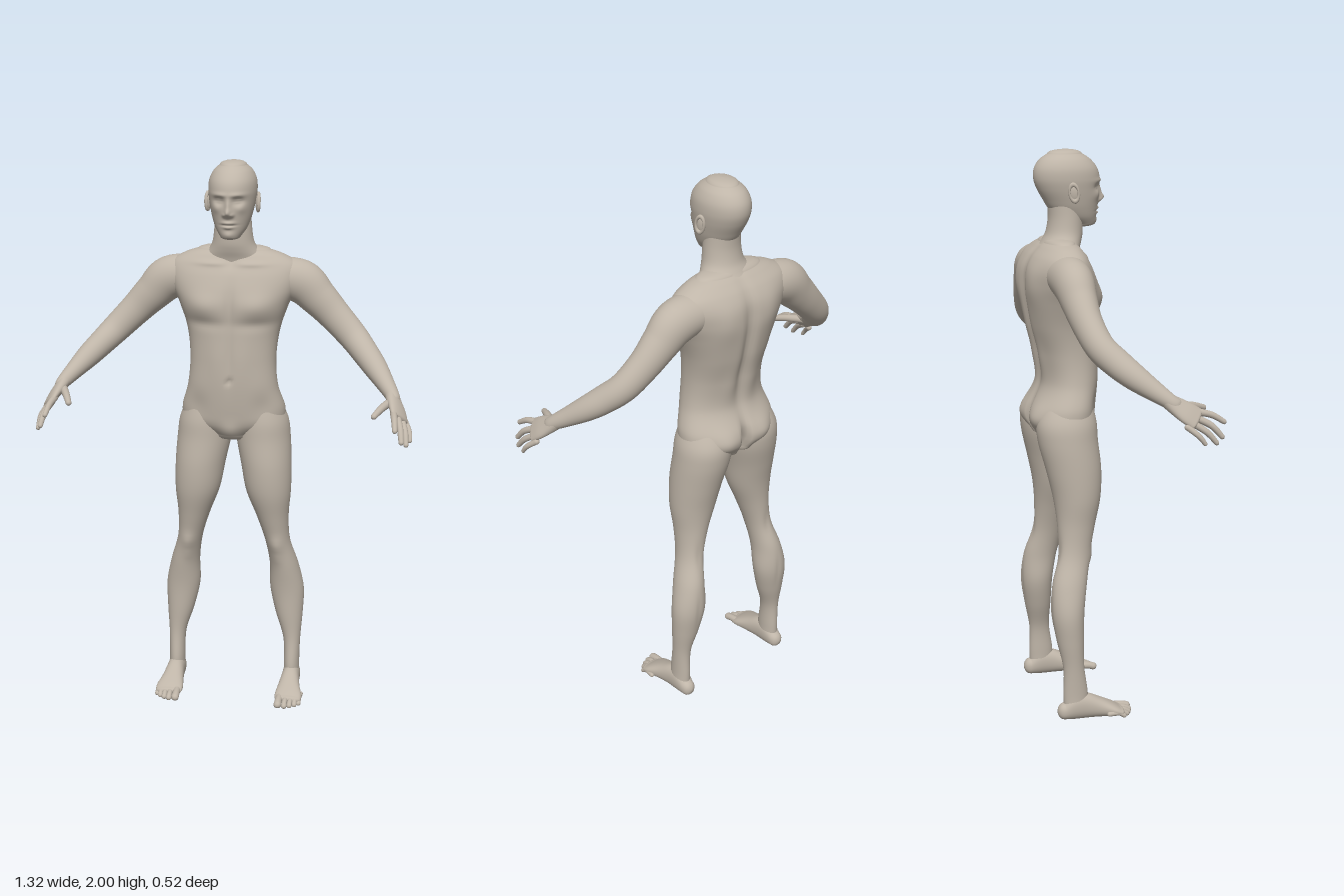
import * as THREE from 'three';

const skin = new THREE.MeshStandardMaterial({ color: 0xbfb5a8 });
skin.name = 'skin';

const V = (x, y, z) => new THREE.Vector3(x, y, z);
const X = V(1, 0, 0), Y = V(0, 1, 0), Z = V(0, 0, 1);

// Smooth interpolation through rows of numbers
function sampleRows(rows, steps) {
  const out = [], last = rows.length - 1;
  for (let i = 0; i < last; i++) {
    const p0 = rows[Math.max(i - 1, 0)], p1 = rows[i], p2 = rows[i + 1], p3 = rows[Math.min(i + 2, last)];
    for (let s = 0; s < steps; s++) {
      const t = s / steps;
      out.push(p1.map((b, k) => {
        const c1 = p2[k] - p0[k];
        const c2 = 2 * p0[k] - 5 * b + 4 * p2[k] - p3[k];
        const c3 = 3 * (b - p2[k]) + p3[k] - p0[k];
        return b + 0.5 * t * (c1 + t * (c2 + t * c3));
      }));
    }
  }
  out.push(rows[last]);
  return out;
}

// Skin over oval sections [x, y, z, radius along ref, radius across], with rounded ends
function loft(rows, { ref = Z, axis = null, sides = 32, steps = 6, cap = 1, square = 1 } = {}) {
  const s = sampleRows(rows, steps), rings = [];
  const centre = (r) => V(r[0], r[1], r[2]);
  s.forEach((r, i) => {
    const T = axis ? axis.clone()
      : centre(s[Math.min(i + 1, s.length - 1)]).sub(centre(s[Math.max(i - 1, 0)])).normalize();
    rings.push({ c: centre(r), T, a: r[3], b: r[4] });
  });
  const capRings = (end, sign) => [1, 2, 3, 4, 5].map((k) => {
    const t = k * Math.PI / 10, h = Math.min(end.a, end.b) * cap * sign, f = Math.max(Math.cos(t), 0.001);
    return { c: end.c.clone().addScaledVector(end.T, h * Math.sin(t)), T: end.T, a: end.a * f, b: end.b * f };
  });
  const all = [...capRings(rings[0], -1).reverse(), ...rings, ...capRings(rings[rings.length - 1], 1)];
  const pos = [], index = [];
  const pw = (v) => Math.sign(v) * Math.pow(Math.abs(v), square);
  all.forEach(({ c, T, a, b }, i) => {
    const B = ref.clone().addScaledVector(T, -ref.dot(T)).normalize();
    const N = T.clone().cross(B);
    for (let j = 0; j < sides; j++) {
      const t = j / sides * Math.PI * 2;
      const p = c.clone().addScaledVector(B, a * pw(Math.cos(t))).addScaledVector(N, b * pw(Math.sin(t)));
      pos.push(p.x, p.y, p.z);
      if (i < all.length - 1) {
        const q = i * sides + j, r = i * sides + (j + 1) % sides;
        index.push(q, r, r + sides, q, r + sides, q + sides);
      }
    }
  });
  const g = new THREE.BufferGeometry();
  g.setAttribute('position', new THREE.Float32BufferAttribute(pos, 3));
  g.setIndex(index);
  g.computeVertexNormals();
  return g;
}

// Upright loft from rows [y, centre x, half width, front z, back z]
const upright = (rows, opts) => loft(
  rows.map(([y, x, w, f, b]) => [x, y, (f + b) / 2, w, (f - b) / 2]), { ref: X, axis: Y, ...opts });

// Soft mirrored bumps [x, y, spread x, spread y, height, side], side 1 = front, -1 = back
function sculpt(g, zMid, bumps) {
  const p = g.attributes.position;
  for (let i = 0; i < p.count; i++) {
    const x = Math.abs(p.getX(i)), y = p.getY(i), z = p.getZ(i);
    let dz = 0;
    for (const [bx, by, sx, sy, h, side] of bumps) {
      const w = THREE.MathUtils.smoothstep((z - zMid) * side, 0, 0.06);
      const u = (x - bx) / sx, v = (y - by) / sy;
      dz += side * w * h * Math.exp(-u * u - v * v);
    }
    p.setZ(i, z + dz);
  }
  g.computeVertexNormals();
  return g;
}

// Mirror image across x with corner order restored
function mirrored(src) {
  const g = src.clone().scale(-1, 1, 1), ix = g.index.array;
  for (let i = 0; i < ix.length; i += 3) [ix[i + 1], ix[i + 2]] = [ix[i + 2], ix[i + 1]];
  g.computeVertexNormals();
  return g;
}

export function createModel() {
  const model = new THREE.Group();
  model.name = 'figure';
  const add = (name, g) => {
    const m = new THREE.Mesh(g, skin);
    m.name = name;
    model.add(m);
  };
  const pair = (name, g) => {
    add('left' + name, g);
    add('right' + name, mirrored(g));
  };

  // Torso with chest, belly, spine and buttocks
  add('torso', sculpt(upright([
    [1.02, 0, 0.10, -0.045, -0.225], [1.06, 0, 0.175, -0.022, -0.243], [1.11, 0, 0.188, -0.012, -0.24],
    [1.2, 0, 0.163, -0.004, -0.205], [1.3, 0, 0.155, -0.004, -0.215], [1.4, 0, 0.166, -0.006, -0.243],
    [1.49, 0, 0.195, -0.004, -0.258], [1.55, 0, 0.222, -0.012, -0.26], [1.6, 0, 0.235, -0.03, -0.254],
    [1.64, 0, 0.225, -0.052, -0.235], [1.67, 0, 0.175, -0.07, -0.208], [1.685, 0, 0.13, -0.085, -0.19],
  ], { sides: 112, steps: 10, cap: 0.35, square: 0.92 }), -0.13, [
    [0.1, 1.5, 0.07, 0.045, 0.016, 1], [0, 1.5, 0.016, 0.09, -0.008, 1], [0.09, 1.435, 0.08, 0.02, -0.006, 1],
    [0.045, 1.3, 0.035, 0.1, 0.004, 1], [0, 1.33, 0.012, 0.1, -0.004, 1], [0, 1.23, 0.009, 0.01, -0.01, 1],
    [0, 1.03, 0.035, 0.035, 0.012, 1], [0.12, 1.13, 0.04, 0.05, -0.008, 1],
    [0.07, 1.645, 0.06, 0.01, 0.006, 1], [0, 1.65, 0.02, 0.02, -0.008, 1],
    [0, 1.42, 0.022, 0.2, -0.018, -1], [0.09, 1.55, 0.05, 0.07, 0.008, -1], [0.05, 1.28, 0.03, 0.08, 0.006, -1],
    [0.085, 1.075, 0.055, 0.055, 0.018, -1], [0, 1.05, 0.014, 0.065, -0.045, -1],
  ]));

  // Neck
  add('neck', upright([
    [1.62, 0, 0.13, -0.07, -0.225], [1.66, 0, 0.112, -0.062, -0.208], [1.69, 0, 0.088, -0.052, -0.188],
    [1.72, 0, 0.073, -0.046, -0.173], [1.77, 0, 0.066, -0.046, -0.165], [1.83, 0, 0.062, -0.05, -0.168],
  ], { sides: 48, cap: 0.3 }));

  // Head with sculpted face
  add('head', sculpt(upright([
    [1.745, 0, 0.036, -0.001, -0.09], [1.77, 0, 0.054, 0.004, -0.135], [1.8, 0, 0.066, 0.008, -0.165],
    [1.83, 0, 0.074, 0.012, -0.184], [1.865, 0, 0.081, 0.015, -0.204], [1.9, 0, 0.085, 0.017, -0.216],
    [1.935, 0, 0.082, 0.008, -0.214], [1.965, 0, 0.068, -0.016, -0.196], [1.985, 0, 0.047, -0.046, -0.167],
  ], { sides: 128, steps: 10, cap: 0.32 }), -0.08, [
    [0, 1.832, 0.013, 0.015, 0.02, 1], [0, 1.856, 0.01, 0.022, 0.01, 1], [0.014, 1.825, 0.007, 0.007, 0.007, 1],
    [0.034, 1.872, 0.018, 0.013, -0.015, 1], [0.034, 1.872, 0.012, 0.007, 0.008, 1],
    [0.034, 1.872, 0.014, 0.002, -0.003, 1], [0.03, 1.893, 0.028, 0.008, 0.005, 1],
    [0.045, 1.845, 0.016, 0.016, 0.005, 1], [0, 1.797, 0.02, 0.006, 0.008, 1], [0, 1.782, 0.017, 0.006, 0.008, 1],
    [0, 1.789, 0.024, 0.003, -0.006, 1], [0, 1.754, 0.022, 0.013, 0.007, 1],
  ]));

  // Ears: a rim around a shallow bowl
  const rim = new THREE.TorusGeometry(0.022, 0.006, 10, 28).scale(0.72, 1.3, 1)
    .rotateY(Math.PI / 2 + 0.3).rotateX(-0.15).translate(0.089, 1.857, -0.1);
  const bowl = new THREE.SphereGeometry(1, 20, 14).scale(0.006, 0.026, 0.015)
    .rotateY(0.3).rotateX(-0.15).translate(0.085, 1.855, -0.1);
  pair('EarRim', rim);
  pair('EarBowl', bowl);

  // Legs
  pair('Leg', sculpt(upright([
    [0.05, 0.222, 0.03, -0.1, -0.185], [0.1, 0.221, 0.029, -0.097, -0.186], [0.2, 0.22, 0.032, -0.11, -0.186],
    [0.3, 0.208, 0.051, -0.108, -0.206], [0.4, 0.198, 0.063, -0.104, -0.221], [0.5, 0.187, 0.053, -0.09, -0.213],
    [0.6, 0.165, 0.046, -0.072, -0.186], [0.7, 0.147, 0.059, -0.048, -0.182], [0.8, 0.132, 0.082, -0.024, -0.192],
    [0.9, 0.122, 0.092, -0.018, -0.214], [1.0, 0.109, 0.099, -0.026, -0.238], [1.07, 0.104, 0.094, -0.03, -0.24],
    [1.14, 0.096, 0.07, -0.045, -0.21],
  ], { sides: 48, cap: 0.4 }), -0.13, [
    [0.165, 0.59, 0.028, 0.03, 0.009, 1], [0.165, 0.535, 0.02, 0.02, 0.004, 1],
    [0.165, 0.61, 0.014, 0.05, -0.005, -1], [0.195, 0.4, 0.008, 0.06, -0.004, -1],
  ]));

  // Feet and toes
  pair('Foot', loft([
    [0.222, 0.036, -0.185, 0.026, 0.03], [0.222, 0.05, -0.15, 0.032, 0.047], [0.222, 0.048, -0.1, 0.034, 0.046],
    [0.223, 0.037, -0.05, 0.041, 0.035], [0.226, 0.026, -0.005, 0.05, 0.023], [0.227, 0.019, 0.02, 0.048, 0.015],
  ], { ref: X, axis: Z, sides: 40, cap: 0.9, square: 0.9 }));
  const toes = [[0.194, 0.059, 0.0145], [0.218, 0.06, 0.0105], [0.237, 0.052, 0.01],
    [0.254, 0.041, 0.0095], [0.268, 0.026, 0.009]];
  toes.forEach(([x, z, r], i) => pair('Toe' + (i + 1), loft([
    [x + 0.002, 0.022, z - 0.055, r, r], [x, 0.02, z - 0.02, r * 0.92, r * 0.9], [x, r, z, r, r * 0.95],
  ], { ref: X, sides: 16, steps: 4 })));

  // Arms from shoulder to wrist
  pair('Arm', loft([
    [0.13, 1.592, -0.15, 0.075, 0.066], [0.235, 1.572, -0.151, 0.07, 0.078], [0.3, 1.515, -0.148, 0.06, 0.067],
    [0.36, 1.455, -0.141, 0.052, 0.058], [0.428, 1.387, -0.118, 0.049, 0.052], [0.475, 1.34, -0.075, 0.049, 0.047],
    [0.515, 1.3, -0.03, 0.044, 0.042], [0.555, 1.258, 0.025, 0.034, 0.032], [0.585, 1.225, 0.07, 0.026, 0.024],
    [0.592, 1.213, 0.085, 0.026, 0.02],
  ], { sides: 40, cap: 0.6 }));

  // Hands: flat palm, then the digits
  const across = V(0.55, -0.5, -0.66).normalize();
  pair('Palm', loft([
    [0.58, 1.23, 0.06, 0.026, 0.022], [0.592, 1.21, 0.09, 0.035, 0.02], [0.605, 1.19, 0.12, 0.042, 0.017],
    [0.614, 1.172, 0.148, 0.043, 0.013],
  ], { ref: across, cap: 0.8, square: 0.9 }));
  const digits = {
    Thumb: [[0.582, 1.212, 0.085], [0.553, 1.203, 0.15], [0.531, 1.188, 0.203], 0.013],
    IndexFinger: [[0.594, 1.19, 0.155], [0.6, 1.178, 0.205], [0.605, 1.153, 0.247], 0.0108],
    MiddleFinger: [[0.606, 1.175, 0.145], [0.62, 1.147, 0.197], [0.627, 1.109, 0.232], 0.011],
    RingFinger: [[0.62, 1.162, 0.128], [0.636, 1.13, 0.175], [0.642, 1.094, 0.207], 0.0105],
    LittleFinger: [[0.632, 1.15, 0.11], [0.649, 1.122, 0.143], [0.653, 1.096, 0.163], 0.009],
  };
  for (const [name, [base, mid, tip, r]] of Object.entries(digits)) {
    pair(name, loft([[...base, r * 1.15, r * 1.15], [...mid, r, r], [...tip, r * 0.8, r * 0.8]],
      { ref: across, sides: 16 }));
  }

  return model;
}
